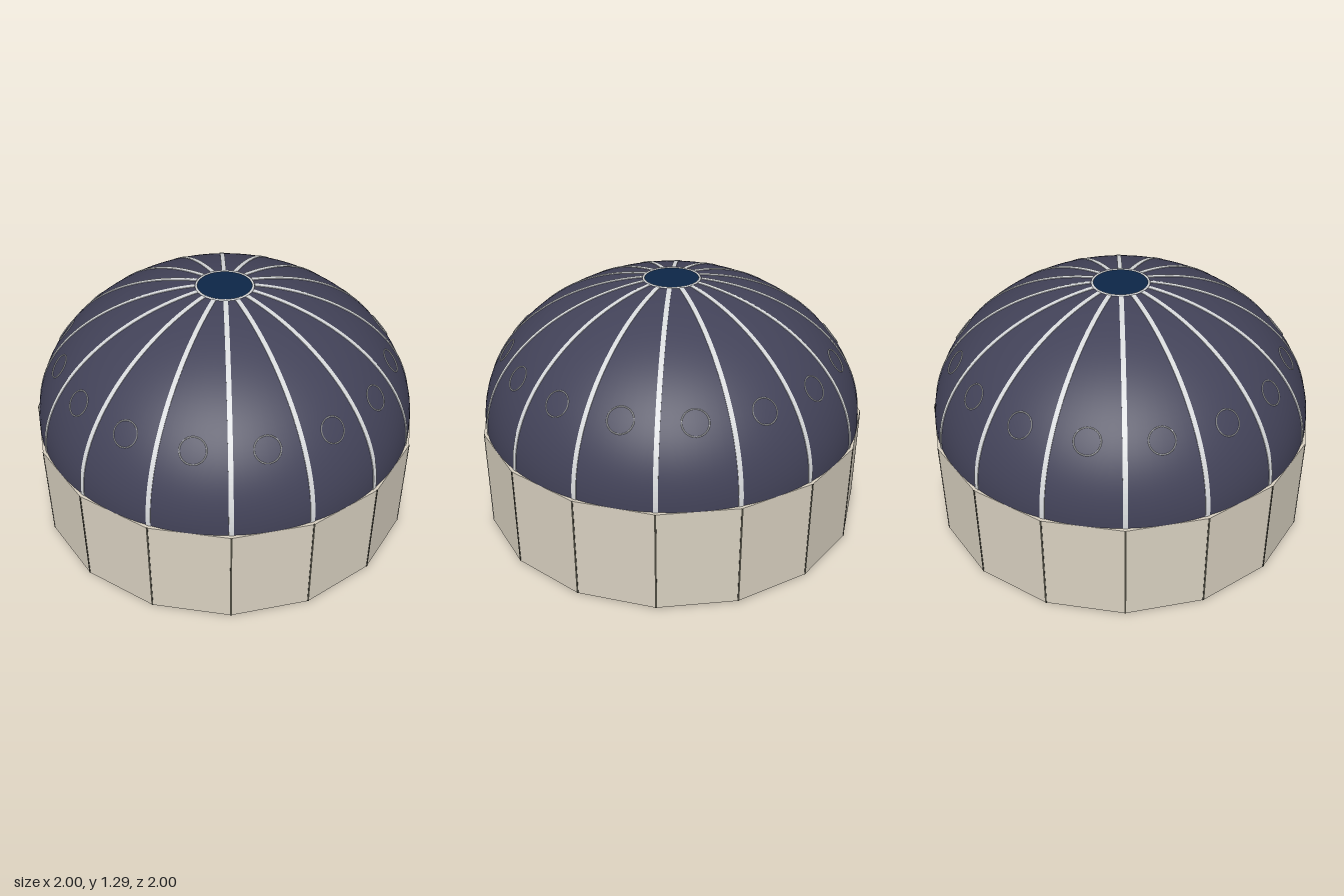
import * as THREE from 'three';

const SIDES = 16, STEP = (Math.PI * 2) / SIDES;
const APOTHEM = 0.998, CORNER = APOTHEM / Math.cos(STEP / 2);
const BASE = 0.01, EAVE = 0.55;            // wall bottom and top
const DOME_R = 0.998, DOME_H = 0.745, HOLE_R = 0.14;

const mat = (name, color) => {
  const m = new THREE.MeshStandardMaterial({ color });
  m.name = name;
  return m;
};

// Points (radius, height) on the dome's elliptical profile, pushed out by d
function profile(d, rTop, n) {
  const end = Math.acos(rTop / DOME_R), pts = [];
  for (let i = 0; i <= n; i++) {
    const t = (end * i) / n;
    pts.push(new THREE.Vector2((DOME_R + d) * Math.cos(t), EAVE + (DOME_H + d) * Math.sin(t)));
  }
  return pts;
}

export function createModel() {
  const wallMat = mat('cream panel', 0xd8d0c0);
  wallMat.flatShading = true;
  const seamMat = mat('dark seam', 0x4c4a40);
  const domeMat = mat('slate blue fabric', 0x424258);
  const ribMat = mat('pale grey trim', 0xd6d8da);
  const glassMat = mat('deep blue glass', 0x0d2647);
  const floorMat = mat('black floor', 0x1c1c1e);

  const model = new THREE.Group();
  model.name = 'domedTent';
  const add = (name, geometry, material, parent = model) => {
    const mesh = new THREE.Mesh(geometry, material);
    mesh.name = name;
    parent.add(mesh);
    return mesh;
  };

  // Sixteen-sided wall and floor slab, corners halfway between the axes
  const wall = add('wall', new THREE.CylinderGeometry(CORNER, CORNER, EAVE - BASE, SIDES), wallMat);
  wall.position.y = (EAVE + BASE) / 2;
  wall.rotation.y = STEP / 2;
  const floor = add('floor', new THREE.CylinderGeometry(CORNER - 0.012, CORNER - 0.012, 0.02, SIDES), floorMat);
  floor.position.y = 0.01;
  floor.rotation.y = STEP / 2;

  // Smooth dome, open at the crown
  add('dome', new THREE.LatheGeometry(profile(0, HOLE_R, 40), 96), domeMat);

  // Crown window with its rim
  const glass = add('crownWindow', new THREE.CylinderGeometry(HOLE_R, HOLE_R, 0.008, 48), glassMat);
  glass.position.y = 1.284;
  const rim = add('crownRim', new THREE.TorusGeometry(0.143, 0.006, 8, 64), ribMat);
  rim.rotation.x = Math.PI / 2;
  rim.position.y = 1.287;

  // Rib: a thin curved band following the profile
  const band = [...profile(0.003, 0.15, 40), ...profile(-0.01, 0.15, 40).reverse()];
  const ribGeo = new THREE.ExtrudeGeometry(new THREE.Shape(band), { depth: 0.023, bevelEnabled: false });
  ribGeo.translate(0, 0, -0.0115);
  const seamGeo = new THREE.BoxGeometry(0.006, EAVE - BASE, 0.009);

  // Thin ring lying flat against the dome
  const ringGeo = new THREE.TorusGeometry(0.063, 0.003, 6, 48);
  const r = 0.858, t = Math.acos(r / DOME_R);
  const normal = new THREE.Vector3(Math.cos(t) / DOME_R, Math.sin(t) / DOME_H, 0).normalize();

  for (let i = 0; i < SIDES; i++) {
    // Seam and rib at each corner
    const corner = new THREE.Group();
    corner.name = 'corner' + (i + 1);
    corner.rotation.y = (i + 0.5) * STEP;
    model.add(corner);
    add('rib', ribGeo, ribMat, corner);
    add('wallSeam', seamGeo, seamMat, corner).position.set(CORNER - 0.002, (EAVE + BASE) / 2, 0);

    // Ring in the middle of each dome panel
    const panel = new THREE.Group();
    panel.name = 'panel' + (i + 1);
    panel.rotation.y = i * STEP;
    model.add(panel);
    const ring = add('ventRing', ringGeo, ribMat, panel);
    ring.position.set(r, EAVE + DOME_H * Math.sin(t), 0);
    ring.quaternion.setFromUnitVectors(new THREE.Vector3(0, 0, 1), normal);
  }
  return model;
}
